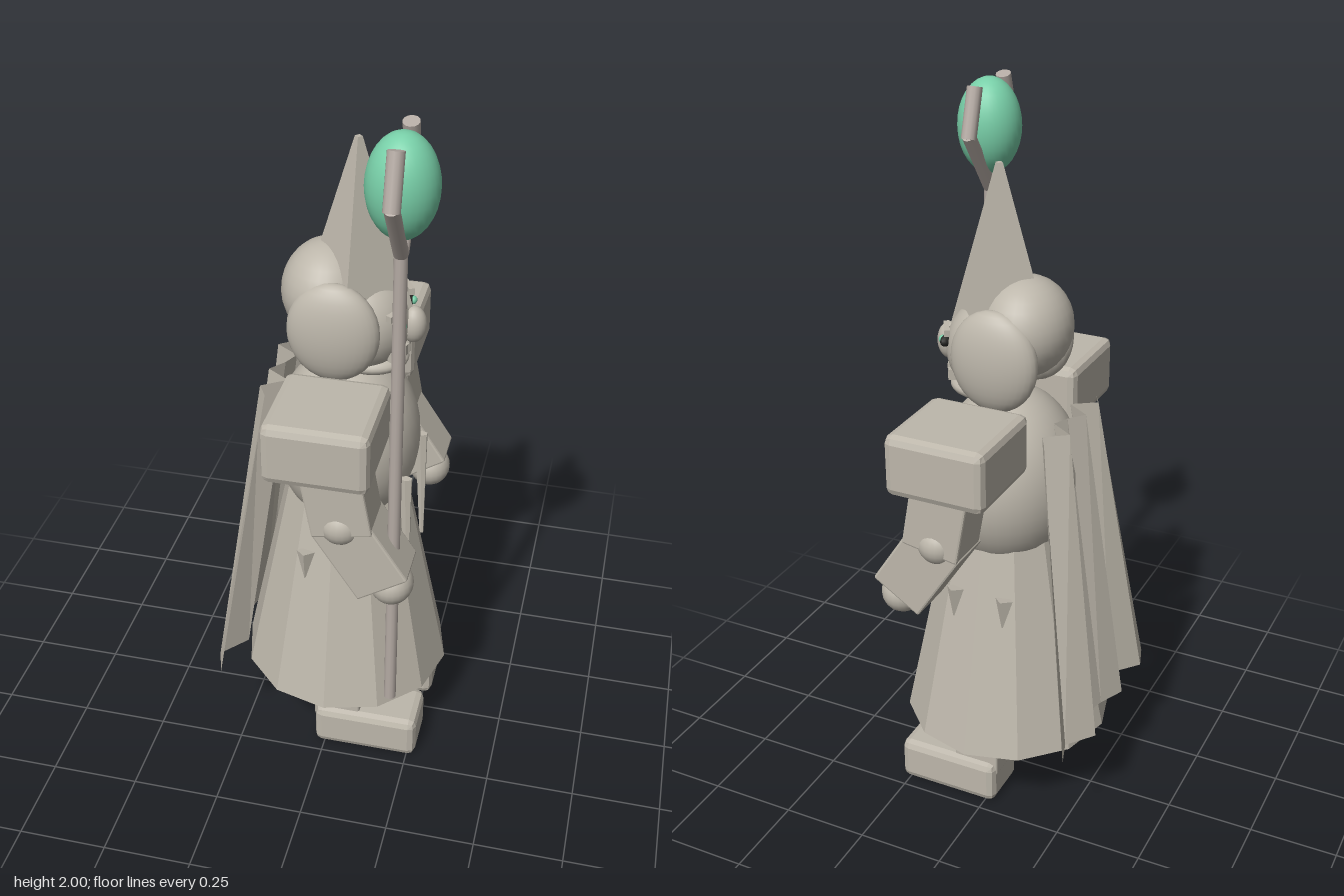
import * as THREE from 'three';
import { RoundedBoxGeometry } from 'three/addons/geometries/RoundedBoxGeometry.js';

const mat = (name, color, extra = {}) => {
  const m = new THREE.MeshStandardMaterial({ color, ...extra });
  m.name = name;
  return m;
};

export function createModel() {
  const root = new THREE.Group();
  root.name = 'staffBearer';
  const stone = mat('stone', 0xbdb7ab);
  const cloth = mat('capeCloth', 0xbdb7ab, { side: THREE.DoubleSide });
  const wood = mat('staffWood', 0xb5aba4);
  const green = mat('gemGreen', 0x78cfa8);
  const dark = mat('eyeDark', 0x2a2a28);

  const flat = (g) => {
    const f = g.index ? g.toNonIndexed() : g;
    f.computeVertexNormals();
    return f;
  };
  const add = (name, geo, m, x = 0, y = 0, z = 0, parent = root) => {
    const mesh = new THREE.Mesh(geo, m);
    mesh.name = name;
    mesh.position.set(x, y, z);
    parent.add(mesh);
    return mesh;
  };
  const ball = (name, m, p, r, seg = 32) => {
    const mesh = add(name, new THREE.SphereGeometry(1, seg, seg / 2), m, ...p);
    mesh.scale.set(...r);
    return mesh;
  };
  // Bevelled box given by its extents
  const block = (name, x0, x1, y0, y1, z0, z1, bevel) => add(name,
    flat(new RoundedBoxGeometry(x1 - x0, y1 - y0, z1 - z0, 1, bevel)), stone,
    (x0 + x1) / 2, (y0 + y1) / 2, (z0 + z1) / 2);
  // Square limb between two points in the xy plane
  const limb = (name, a, b, z, width, depth) => {
    const len = Math.hypot(b[0] - a[0], b[1] - a[1]);
    const mesh = add(name, flat(new RoundedBoxGeometry(width, len, depth, 1, 0.006)), stone,
      (a[0] + b[0]) / 2, (a[1] + b[1]) / 2, z);
    mesh.rotation.z = Math.atan2(b[0] - a[0], a[1] - b[1]);
  };
  // Round rod between two points
  const rod = (name, a, b, r, m) => {
    const p = new THREE.Vector3(...a), q = new THREE.Vector3(...b);
    const d = q.clone().sub(p);
    const mesh = add(name, new THREE.CylinderGeometry(r, r, d.length(), 12), m);
    mesh.position.copy(p).add(q).multiplyScalar(0.5);
    mesh.quaternion.setFromUnitVectors(new THREE.Vector3(0, 1, 0), d.normalize());
  };

  // Body and skirt
  ball('torso', stone, [0.02, 0.99, 0], [0.2, 0.26, 0.22], 40);
  add('skirt', flat(new THREE.CylinderGeometry(0.17, 0.3, 0.62, 12)), stone, 0.02, 0.535, 0);

  // Head, hair and pointed hat
  ball('head', stone, [0.06, 1.36, 0], [0.13, 0.14, 0.13]);
  ball('chin', stone, [0.085, 1.25, 0], [0.1, 0.036, 0.092]);
  ball('hairBun', stone, [-0.03, 1.435, 0], [0.125, 0.135, 0.14]);
  add('hat', flat(new THREE.CylinderGeometry(0.01, 0.148, 0.46, 4)), stone, 0.045, 1.63, 0);
  ball('nose', stone, [0.195, 1.355, 0], [0.035, 0.052, 0.034], 24);

  // Teeth following the curve of the face
  for (let i = -3; i <= 3; i++) {
    const z = i * 0.023;
    const tooth = add('tooth', new THREE.BoxGeometry(0.02, i % 2 ? 0.03 : 0.042, 0.017), stone,
      0.06 + Math.sqrt(0.0137 - z * z), 1.29, z);
    tooth.rotation.y = -Math.atan2(z, 0.115);
  }

  for (const s of [1, -1]) {
    const side = s > 0 ? 'Right' : 'Left';
    // Face details
    ball('ear' + side, stone, [0.007, 1.37, s * 0.115], [0.123, 0.14, 0.055]);
    ball('eye' + side, dark, [0.168, 1.385, s * 0.072], [0.014, 0.016, 0.025], 16);
    ball('pupil' + side, green, [0.18, 1.386, s * 0.071], [0.01, 0.011, 0.012], 16);
    const brow = add('brow' + side, new THREE.BoxGeometry(0.016, 0.018, 0.064), stone,
      0.164, 1.42, s * 0.076);
    brow.rotation.set(s * 0.06, -s * 0.5, 0);

    // Arms
    const zs = [s * 0.145, s * 0.425].sort((a, b) => a - b);
    block('shoulder' + side, -0.11, 0.17, 1.09, 1.26, ...zs, 0.022);
    limb('upperArm' + side, [0.035, 1.18], [0.085, 0.9], s * 0.287, 0.165, 0.135);
    limb('forearm' + side, [0.065, 0.935], [0.195, 0.735], s * 0.28, 0.16, 0.135);
    ball('elbow' + side, stone, [0.075, 0.915, s * 0.31], [0.06, 0.058, 0.058], 24);
    ball('hand' + side, stone, [0.207, 0.717, s * 0.28], [0.06, 0.06, 0.063], 24);

    // Legs and feet
    const lz = [s * 0.075, s * 0.198].sort((a, b) => a - b);
    const fz = [s * 0.053, s * 0.218].sort((a, b) => a - b);
    block('leg' + side, -0.033, 0.103, 0.09, 0.3, ...lz, 0.006);
    block('foot' + side, -0.03, 0.275, 0, 0.13, ...fz, 0.022);

    // Hanging sash strip and pointed skirt trims
    const sash = add('sash' + side, flat(new THREE.CylinderGeometry(0.012, 0.004, 0.35, 6)), stone,
      0.212, 0.765, s * 0.112);
    sash.rotation.z = 0.03;
    sash.scale.x = 1.6;
    for (const x of [-0.055, 0.095]) {
      const trim = add('skirtTrim' + side, flat(new THREE.CylinderGeometry(0.026, 0.002, 0.085, 4)),
        stone, x, 0.66, s * 0.196);
      trim.rotation.x = -s * 0.15;
    }
  }

  // Pleated cape, narrow at the neck and flared at the hem
  const hem = [[-0.285, -0.3], [-0.26, -0.225], [-0.32, -0.15], [-0.255, -0.075], [-0.275, 0],
    [-0.31, 0.075], [-0.245, 0.15], [-0.31, 0.225], [-0.285, 0.3]];
  const pos = [];
  for (let i = 0; i < hem.length - 1; i++) {
    const [a, b] = [hem[i], hem[i + 1]];
    const low = (p) => [p[0], 0.3, p[1]];
    const high = (p) => [p[0] + 0.122, 1.19, p[1] * 0.58];
    pos.push(...low(a), ...low(b), ...high(b), ...low(a), ...high(b), ...high(a));
  }
  const cape = new THREE.BufferGeometry();
  cape.setAttribute('position', new THREE.Float32BufferAttribute(pos, 3));
  cape.computeVertexNormals();
  add('cape', cape, cloth);

  // Staff with a two-pronged fork holding the gem
  const sx = 0.21, sz = 0.28;
  rod('staffPole', [sx, 0.3, sz], [sx, 1.72, sz], 0.017, wood);
  for (const s of [1, -1]) {
    rod('prongLower', [sx, 1.7, sz], [sx, 1.87, sz + s * 0.125], 0.019, wood);
    rod('prongUpper', [sx, 1.86, sz + s * 0.125], [sx, 1.99, sz + s * 0.085], 0.021, wood);
  }
  ball('gem', green, [sx, 1.87, sz], [0.088, 0.13, 0.087]);

  return root;
}
